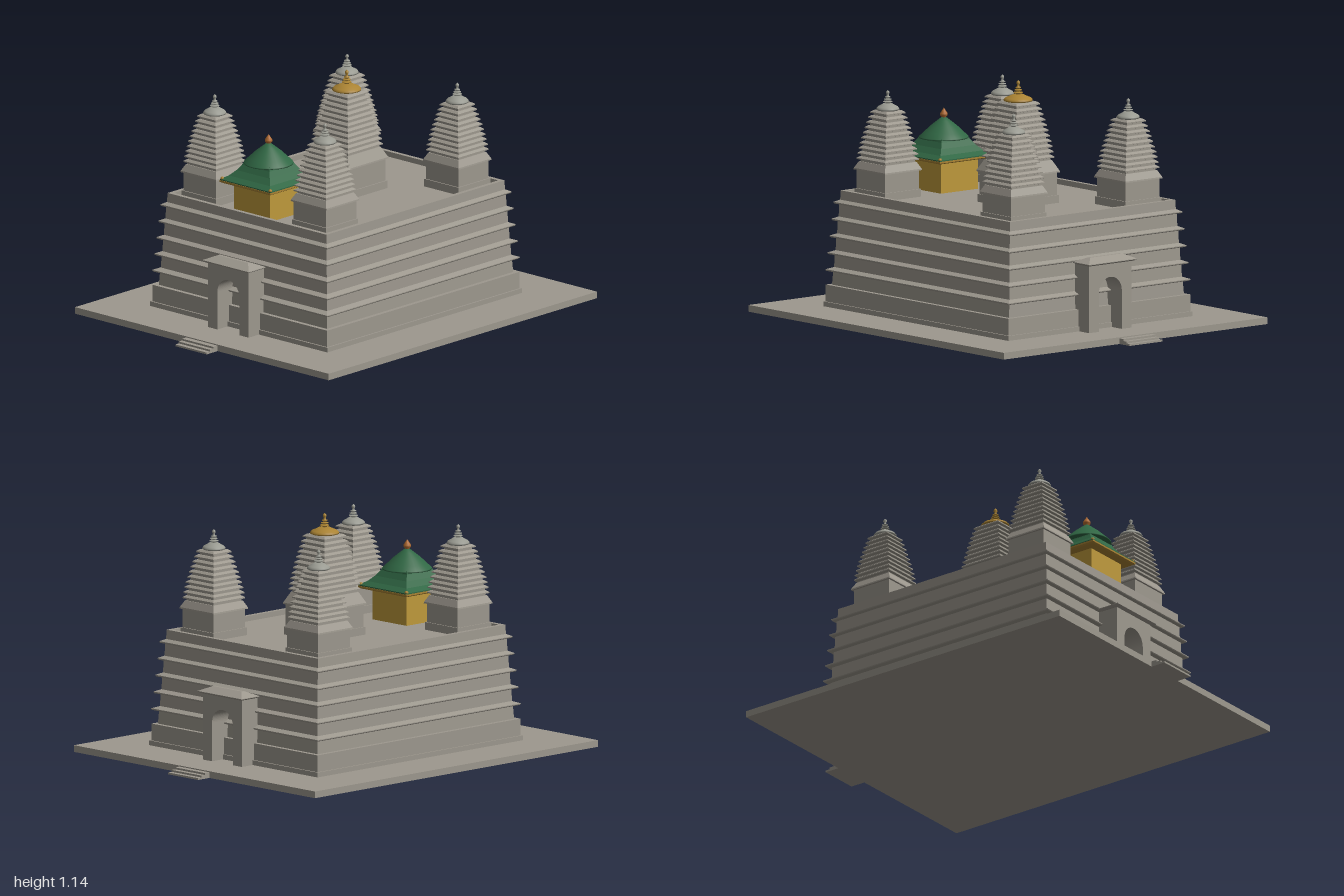
import * as THREE from 'three';

const mat = (name, color) => {
  const m = new THREE.MeshStandardMaterial({ color });
  m.name = name;
  return m;
};

export function createModel() {
  const stone = mat('grey stone', 0x9d988e);
  const paleStone = mat('pale stone', 0x999a91);
  const gold = mat('gold', 0xaa8333);
  const wallGold = mat('ochre wall', 0xbf9a3c);
  const green = mat('green tile', 0x306744);
  const copper = mat('copper', 0xb06a30);

  const FLOOR = 0.558;
  const model = new THREE.Group();
  model.name = 'temple';

  const add = (parent, name, geo, material, x = 0, y = 0, z = 0) => {
    const mesh = new THREE.Mesh(geo, material);
    mesh.name = name;
    mesh.position.set(x, y, z);
    parent.add(mesh);
    return mesh;
  };
  const box = (parent, name, w, h, d, material, x, y, z) =>
    add(parent, name, new THREE.BoxGeometry(w, h, d), material, x, y + h / 2, z);

  // Stacked rectangular sections from [halfWidth, y]; depth halves differ by dz
  const stack = (profile, dz = 0) => {
    const pts = profile.map(([h, y]) => new THREE.Vector2(h * Math.SQRT2, y));
    const lathe = new THREE.LatheGeometry(pts, 4).rotateY(Math.PI / 4);
    const p = lathe.attributes.position;
    for (let i = 0; i < p.count; i++) {
      const z = p.getZ(i);
      if (Math.abs(z) > 1e-6) p.setZ(i, z + Math.sign(z) * dz);
    }
    const flat = lathe.toNonIndexed();
    flat.computeVertexNormals();
    return flat;
  };
  const round = (profile, seg = 24) =>
    new THREE.LatheGeometry(profile.map(([r, y]) => new THREE.Vector2(r, y)), seg);

  // Ground platform with steps at both ends
  box(model, 'platform', 1.62, 0.032, 1.85, stone, 0, 0, 0);
  for (const s of [1, -1]) {
    for (let i = 0; i < 3; i++) {
      box(model, 'step', 0.2, 0.009 * (i + 1), 0.1 - i * 0.023, stone,
        0, 0, s * (0.95 - i * 0.0115));
    }
  }

  // Main base: two plinths, walls with five cornices, and a parapet round a sunken floor
  const base = [[0, 0.03], [0.566, 0.03], [0.566, 0.055], [0.558, 0.055], [0.558, 0.135], [0.537, 0.135]];
  for (let i = 0; i < 5; i++) {
    const y = 0.207 + i * 0.08;
    const w = 0.533 - i * 0.005;
    const lip = 0.559 - i * 0.0068;
    base.push([w, y - 0.009], [lip - 0.003, y - 0.007], [lip, y - 0.003], [lip, y + 0.001], [w - 0.003, y + 0.012]);
  }
  base.push([0.508, 0.583], [0.487, 0.583], [0.487, FLOOR], [0, FLOOR]);
  add(model, 'terracedBase', stack(base, 0.105), stone);

  // Stepped tower with a round cap and finial
  function tower(name, x, z, o) {
    const g = new THREE.Group();
    g.name = name;
    g.position.set(x, FLOOR, z);
    model.add(g);
    const w = o.width;
    const prof = [[w + 0.006, 0], [w + 0.006, 0.037], [w, 0.037], [w, o.eave],
      [w + 0.01, o.eave], [w + 0.009, o.eave + 0.007], [o.r0 - 0.008, o.start]];
    const h = (o.end - o.start) / o.tiers;
    for (let i = 0; i < o.tiers; i++) {
      const t = i / (o.tiers - 1);
      const r = o.r0 + (o.r1 - o.r0) * Math.pow(t, 1.3);
      const y = o.start + i * h;
      prof.push([r - 0.013, y], [r - 0.013, y + h * 0.3], [r, y + h * 0.42], [r, y + h * 0.65], [r - 0.012, y + h]);
    }
    prof.push([0, o.end]);
    add(g, 'towerBody', stack(prof), stone);
    const c = o.cap;
    add(g, 'towerCap', round([[c * 0.8, 0], [c, 0.005], [c, 0.011], [c * 0.88, 0.019],
      [c * 0.6, 0.027], [c * 0.4, 0.034], [0, 0.036]]), o.material, 0, o.end - 0.002, 0);
    // Ringed spire
    const spire = [[0.015, 0]];
    for (let i = 0; i < 3; i++) {
      const r = 0.022 - i * 0.004;
      const y = 0.006 + i * 0.011;
      spire.push([0.008, y], [r, y + 0.003], [r, y + 0.006], [0.007, y + 0.008]);
    }
    spire.push([0.005, 0.045], [0.009, 0.051], [0.008, 0.058], [0, 0.066]);
    add(g, 'finial', round(spire, 12), o.material, 0, o.end + 0.03, 0).scale.y = o.spire;
  }

  for (const x of [-0.352, 0.352]) {
    for (const z of [-0.456, 0.456]) {
      tower('cornerTower', x, z, { width: 0.104, eave: 0.126, start: 0.165, end: 0.409,
        tiers: 10, r0: 0.104, r1: 0.059, cap: 0.054, spire: 1, material: paleStone });
    }
  }
  tower('centralTower', 0, -0.074, { width: 0.129, eave: 0.145, start: 0.203, end: 0.48,
    tiers: 11, r0: 0.12, r1: 0.073, cap: 0.068, spire: 1.07, material: gold });

  // Pavilion with a square skirt roof and a round upper roof
  const pav = new THREE.Group();
  pav.name = 'pavilion';
  pav.position.set(0, 0, 0.465);
  model.add(pav);
  box(pav, 'pavilionWall', 0.228, 0.155, 0.228, wallGold, 0, FLOOR, 0);
  add(pav, 'eaves', stack([[0, 0.706], [0.155, 0.706], [0.163, 0.711], [0.163, 0.719], [0, 0.719]]), gold);
  add(pav, 'lowerRoof', stack([[0.161, 0.719], [0.161, 0.724], [0.132, 0.741], [0.106, 0.767],
    [0.088, 0.793], [0.08, 0.81], [0, 0.81]]), green);
  add(pav, 'upperRoof', round([[0, 0.8], [0.116, 0.8], [0.116, 0.806], [0.092, 0.828],
    [0.064, 0.855], [0.034, 0.879], [0.012, 0.896], [0, 0.898]], 32), green);
  add(pav, 'roofFinial', round([[0.01, 0.886], [0.01, 0.897], [0.018, 0.906], [0.018, 0.914],
    [0.009, 0.928], [0, 0.941]], 12), copper);
  for (const x of [-1, 1]) {
    for (const z of [-1, 1]) {
      add(pav, 'eaveTip', new THREE.SphereGeometry(0.009, 10, 8), gold, x * 0.153, 0.726, z * 0.153);
    }
  }

  // Arched gates at front and back
  const arch = new THREE.Shape();
  arch.moveTo(-0.13, 0);
  arch.lineTo(-0.07, 0);
  arch.lineTo(-0.07, 0.186);
  arch.absarc(0, 0.186, 0.07, Math.PI, 0, true);
  arch.lineTo(0.07, 0);
  arch.lineTo(0.13, 0);
  arch.lineTo(0.13, 0.322);
  arch.lineTo(-0.13, 0.322);
  arch.closePath();
  const archGeo = new THREE.ExtrudeGeometry(arch, { depth: 0.104, bevelEnabled: false, curveSegments: 16 });
  const gateRoof = stack([[0, 0.35], [0.136, 0.35], [0.148, 0.357], [0.148, 0.36],
    [0.097, 0.383], [0, 0.383]], -0.089);
  for (const turn of [0, Math.PI]) {
    const gate = new THREE.Group();
    gate.name = turn ? 'backGate' : 'frontGate';
    gate.rotation.y = turn;
    model.add(gate);
    add(gate, 'gateArch', archGeo, stone, 0, 0.03, 0.638);
    add(gate, 'gateRoof', gateRoof, stone, 0, 0, 0.703);
  }

  return model;
}
